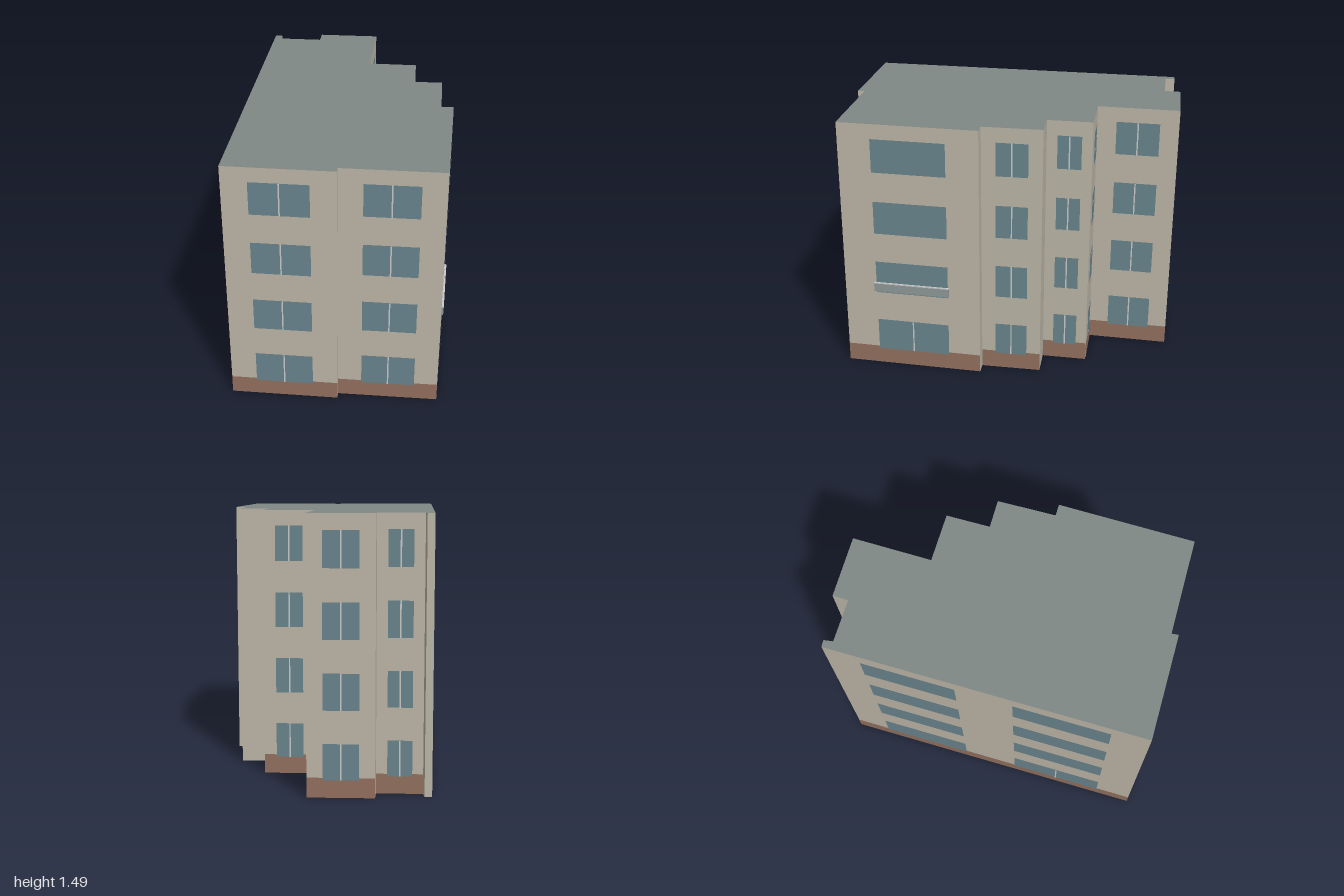
import * as THREE from 'three';

const HEIGHT = 1.49;
const PLINTH = 0.108;
const FLOORS = [[0.095, 0.29], [0.468, 0.664], [0.84, 1.035], [1.21, 1.405]];

// Footprint corners [x, z], starting at the back left and running along the long left wall
const CORNERS = [
  [-0.915, -0.67], [-0.135, 0.995], [0.42, 0.73], [0.4, 0.695], [0.915, 0.445],
  [0.585, -0.275], [0.522, -0.245], [0.372, -0.55], [0.222, -0.475], [0.112, -0.705],
  [-0.147, -0.58], [-0.34, -1], [-0.663, -0.838], [-0.625, -0.755], [-0.85, -0.645], [-0.88, -0.69],
];

const paint = (color, side = THREE.FrontSide) => new THREE.MeshStandardMaterial({ color, side, roughness: 0.9 });
const wallPaint = paint(0xbdb6a8, THREE.DoubleSide);
const roofPaint = paint(0x7f8885, THREE.DoubleSide);
const plinthPaint = paint(0x93705f);
const glassPaint = paint(0x6a858e);
const barPaint = paint(0xc2c6c4);
const panelPaint = paint(0x8f9a98);

// Upright rectangle in a wall's own frame: x along the wall, z outwards
function panel(parent, name, x0, x1, y0, y1, z, material) {
  const mesh = new THREE.Mesh(new THREE.PlaneGeometry(x1 - x0, y1 - y0), material);
  mesh.position.set((x0 + x1) / 2, (y0 + y1) / 2, z);
  mesh.name = name;
  parent.add(mesh);
}

function box(parent, name, x0, x1, y0, y1, depth, material) {
  const mesh = new THREE.Mesh(new THREE.BoxGeometry(x1 - x0, y1 - y0, depth), material);
  mesh.position.set((x0 + x1) / 2, (y0 + y1) / 2, depth / 2);
  mesh.name = name;
  parent.add(mesh);
}

function addWindow(wall, x0, x1, [y0, y1], divided) {
  panel(wall, 'windowGlass', x0, x1, y0, y1, 0.004, glassPaint);
  const mid = (x0 + x1) / 2;
  if (divided) panel(wall, 'windowMullion', mid - 0.004, mid + 0.004, y0, y1, 0.006, barPaint);
}

export function createModel() {
  const building = new THREE.Group();
  building.name = 'apartmentBlock';

  CORNERS.forEach(([ax, az], i) => {
    const [bx, bz] = CORNERS[(i + 1) % CORNERS.length];
    const length = Math.hypot(bx - ax, bz - az);
    const wall = new THREE.Group();
    wall.name = 'wall' + (i + 1);
    wall.position.set(ax, 0, az);
    wall.rotation.y = Math.atan2(az - bz, bx - ax);
    building.add(wall);
    panel(wall, 'wallFace', 0, length, 0, HEIGHT, 0, wallPaint);

    // Narrow returns and the corner post stay plain
    if (length < 0.2) return;
    panel(wall, 'plinth', 0, length, 0, PLINTH, 0.002, plinthPaint);

    const longSide = i === 0;
    const balconySide = i === 4;
    const bays = longSide ? [[0.113, 0.407], [0.585, 0.885]] : [[0.237, 0.768]];
    FLOORS.forEach((floor, level) => {
      bays.forEach(([t0, t1], bay) => {
        const divided = longSide ? level === 0 && bay === 1 : !balconySide || level === 0;
        addWindow(wall, t0 * length, t1 * length, floor, divided);
      });
    });

    // Shallow balcony front with a pale top rail
    if (balconySide) {
      const x0 = 0.22 * length, x1 = 0.775 * length;
      box(wall, 'balconyPanel', x0, x1, 0.476, 0.526, 0.011, panelPaint);
      box(wall, 'balconyRail', x0, x1, 0.526, 0.533, 0.012, barPaint);
    }
  });

  // Flat roof over the whole footprint, open underneath
  const outline = new THREE.Shape(CORNERS.map(([x, z]) => new THREE.Vector2(x, -z)));
  const roof = new THREE.Mesh(new THREE.ShapeGeometry(outline).rotateX(-Math.PI / 2), roofPaint);
  roof.position.y = HEIGHT;
  roof.name = 'roof';
  building.add(roof);

  return building;
}
